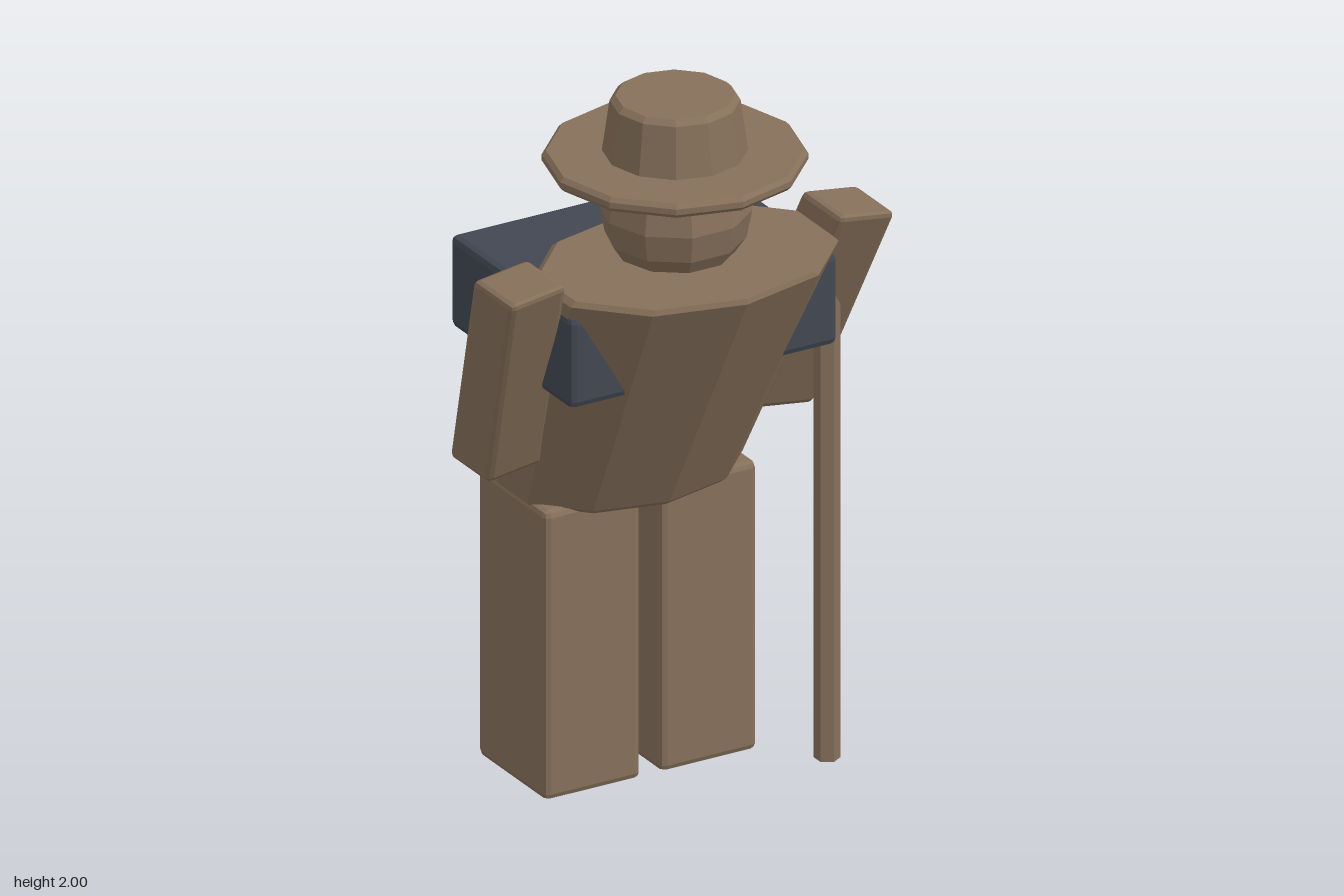
import * as THREE from 'three';
import { RoundedBoxGeometry } from 'three/addons/geometries/RoundedBoxGeometry.js';

const brown = new THREE.MeshStandardMaterial({ color: 0x86705a });
brown.name = 'brown';
const slate = new THREE.MeshStandardMaterial({ color: 0x414752 });
slate.name = 'slate';

// Faceted normals on any geometry
function faceted(geometry) {
  const g = geometry.index ? geometry.toNonIndexed() : geometry;
  g.computeVertexNormals();
  return g;
}

// Lean a geometry along z in proportion to height
function shear(geometry, slope) {
  return geometry.applyMatrix4(new THREE.Matrix4().set(
    1, 0, 0, 0,
    0, 1, 0, 0,
    0, slope, 1, 0,
    0, 0, 0, 1));
}

function lathe(profile, sides) {
  return new THREE.LatheGeometry(profile.map(([r, y]) => new THREE.Vector2(r, y)), sides);
}

function box(w, h, d, bevel) {
  return new RoundedBoxGeometry(w, h, d, 1, bevel);
}

export function createModel() {
  const group = new THREE.Group();
  function add(name, geometry, material, x, y, z) {
    const mesh = new THREE.Mesh(faceted(geometry), material);
    mesh.name = name;
    mesh.position.set(x, y, z);
    group.add(mesh);
    return mesh;
  }

  // Legs and leaning arms, mirrored
  for (const [side, s] of [['left', 1], ['right', -1]]) {
    add(side + 'Leg', box(0.29, 0.825, 0.345, 0.018), brown, s * 0.175, 0.4175, -0.212);
    const arm = add(side + 'Arm', shear(box(0.168, 0.64, 0.2, 0.016), 0.425),
      brown, s * 0.452, 1.281, -0.007);
    arm.rotation.z = -s * 0.14;
  }

  // Forward-leaning ten-sided torso, wider at the shoulders
  const torso = lathe([[0, 0], [0.325, 0], [0.341, 0.015], [0.425, 0.735], [0.41, 0.75], [0, 0.75]], 10);
  torso.scale(1, 1, 0.745);
  add('torso', shear(torso, 0.463), brown, 0, 0.812, -0.208);

  // Pack wrapped through the upper back
  add('backpack', box(0.808, 0.262, 0.617, 0.02), slate, 0, 1.381, -0.078);

  // Head and hat
  add('head', new THREE.SphereGeometry(0.2, 10, 8), brown, 0, 1.68, 0.083);
  add('hatBrim', lathe([[0, 0], [0.335, 0], [0.346, 0.012], [0.346, 0.028], [0.335, 0.04], [0, 0.04]], 12),
    brown, 0, 1.803, 0.08);
  add('hatCrown', lathe([[0, 0], [0.193, 0], [0.17, 0.165], [0.155, 0.18], [0, 0.18]], 12),
    brown, 0, 1.82, 0.08);

  // Walking stick
  const stick = new THREE.CylinderGeometry(0.035, 0.035, 1.36, 6);
  add('walkingStick', stick, brown, 0.457, 0.68, 0.083);

  return group;
}
